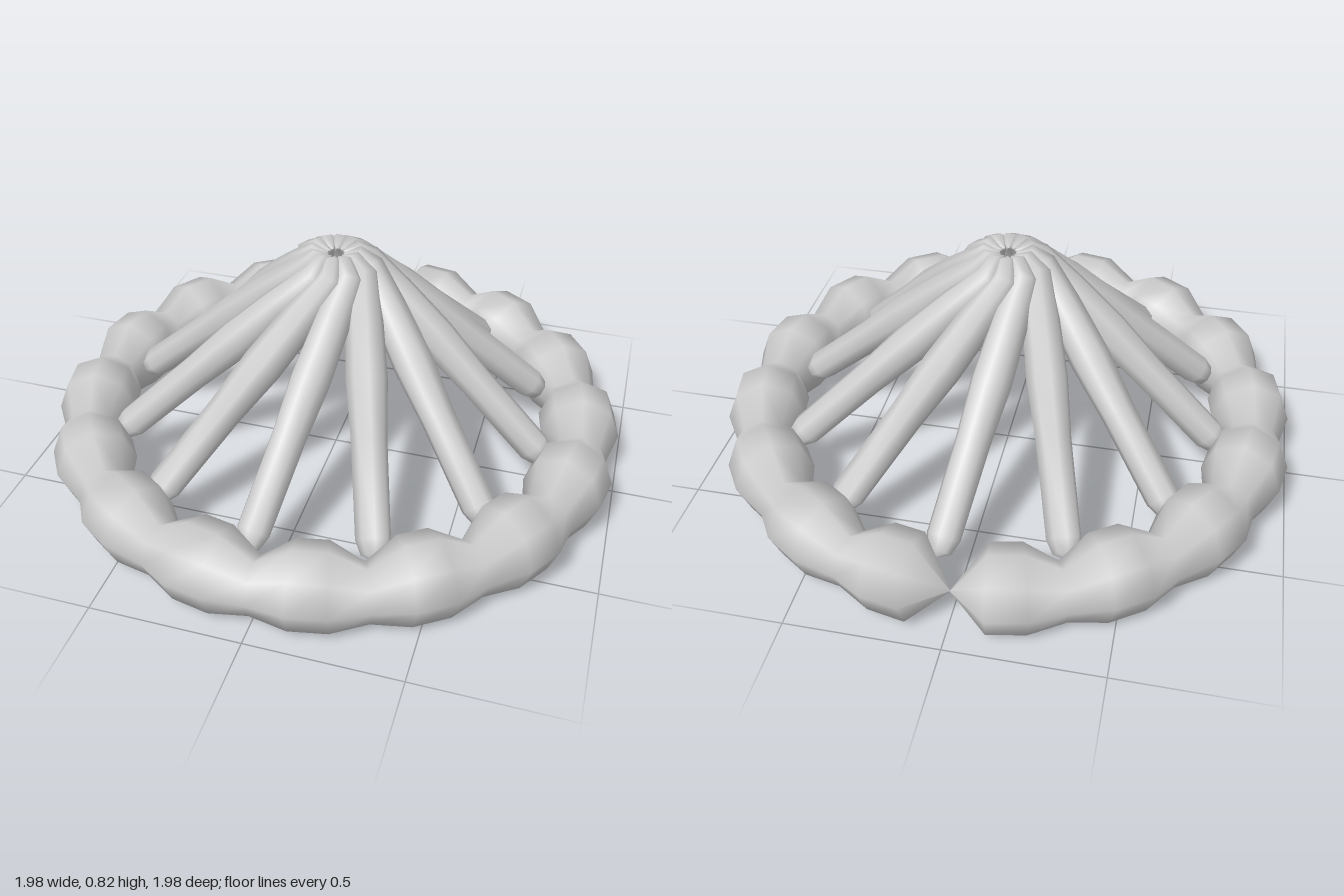
import * as THREE from 'three';

const material = new THREE.MeshStandardMaterial({ color: 0xcccccc, side: THREE.DoubleSide });

// Skin a run of elliptical stations { c, u, v, a, b }: centre, two axes, two radii.
function loft(stations, sides) {
  const pos = [], index = [];
  for (const { c, u, v, a, b } of stations) {
    for (let j = 0; j < sides; j++) {
      const t = (j / sides) * Math.PI * 2;
      const p = c.clone().addScaledVector(u, a * Math.cos(t)).addScaledVector(v, b * Math.sin(t));
      pos.push(p.x, p.y, p.z);
    }
  }
  for (let i = 0; i < stations.length - 1; i++) {
    for (let j = 0; j < sides; j++) {
      const k = (j + 1) % sides;
      const p = i * sides + j, q = i * sides + k;
      index.push(p, q, p + sides, q, q + sides, p + sides);
    }
  }
  const g = new THREE.BufferGeometry();
  g.setAttribute('position', new THREE.Float32BufferAttribute(pos, 3));
  g.setIndex(index);
  g.computeVertexNormals();
  return g;
}

// Lumpy rim: 16 bulges of three stations each, pinched shut at the back.
function rimGeometry() {
  const count = 48, stations = [];
  const up = new THREE.Vector3(0, 1, 0);
  for (let i = 0; i <= count; i++) {
    const t = Math.PI - (i / count) * Math.PI * 2;
    const u = new THREE.Vector3(Math.sin(t), 0, Math.cos(t));
    const pinch = i === 0 || i === count;
    const valley = i % 3 === 0;
    const c = u.clone().multiplyScalar(valley ? 0.87 : 0.865);
    c.y = valley ? 0.115 : 0.14;
    const a = pinch ? 0.002 : valley ? 0.09 : 0.135;
    const b = pinch ? 0.002 : valley ? 0.095 : 0.14;
    stations.push({ c, u, v: up, a, b });
  }
  return loft(stations, 8);
}

// Sloping spoke, swirling into the crown; rows are [radius from axis, height, thickness].
function spokeGeometry() {
  const rows = [
    [0.77, 0.14, 0.001], [0.755, 0.15, 0.04], [0.72, 0.18, 0.056], [0.5, 0.385, 0.058],
    [0.36, 0.515, 0.068], [0.22, 0.645, 0.062], [0.11, 0.745, 0.052],
    [0.065, 0.785, 0.036], [0.025, 0.79, 0.001],
  ];
  const start = new THREE.Vector2(0.77, 0), end = new THREE.Vector2(0.08, -0.075);
  const points = rows.map(([r, y]) => {
    const p = start.clone().lerp(end, Math.min(1, (0.77 - r) / 0.66));
    if (r < 0.11) p.setLength(r);
    return new THREE.Vector3(p.x, y, p.y);
  });
  const stations = points.map((c, i) => {
    const d = points[Math.min(i + 1, points.length - 1)].clone()
      .sub(points[Math.max(i - 1, 0)]).normalize();
    const v = new THREE.Vector3(0.7, 0.7, 0).addScaledVector(d, -d.dot(new THREE.Vector3(0.7, 0.7, 0))).normalize();
    const u = v.clone().cross(d);
    return { c, u, v, a: rows[i][2], b: rows[i][2] };
  });
  return loft(stations, 8);
}

export function createModel() {
  const model = new THREE.Group();
  model.name = 'spokedCone';

  const rim = new THREE.Mesh(rimGeometry(), material);
  rim.name = 'lumpyRim';
  model.add(rim);

  // Twelve spokes rising to the crown
  const spokes = new THREE.Group();
  spokes.name = 'spokes';
  const geometry = spokeGeometry();
  for (let i = 0; i < 12; i++) {
    const spoke = new THREE.Mesh(geometry, material);
    spoke.name = 'spoke';
    spoke.rotation.y = -THREE.MathUtils.degToRad(5 + i * 30);
    spokes.add(spoke);
  }
  model.add(spokes);
  return model;
}
